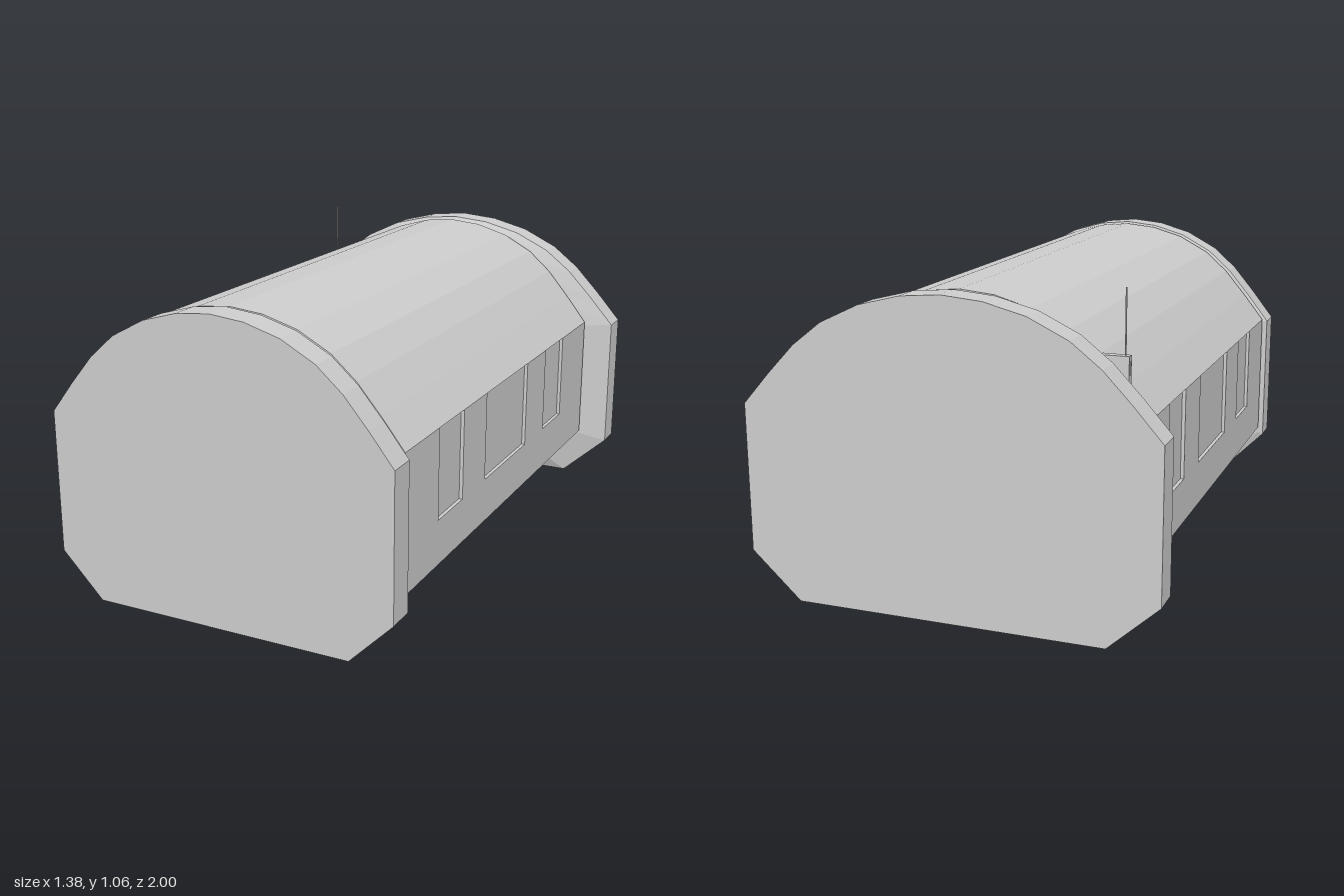
import * as THREE from 'three';

// Half roof curve: fraction of half width, fraction of rise
const ROOF = [[1, 0], [0.865, 0.27], [0.73, 0.52], [0.585, 0.72], [0.395, 0.88], [0.195, 0.97]];

// Mirrors a right half (bottom to top) into a closed counter-clockwise ring
function mirrorRing(half, apex) {
  const left = half.map(([x, y]) => [-x, y]).reverse();
  return [...half, ...(apex === undefined ? [] : [[0, apex]]), ...left];
}

// Arched section: flat floor, chamfered lower corners, straight walls, faceted roof
function arch(floorHalf, floorY, chamferY, half, wallY, topY, extra = []) {
  const roof = ROOF.map(([u, v]) => [u * half, wallY + v * (topY - wallY)]);
  return mirrorRing([[floorHalf, floorY], [extra.length ? extra[0] : half, chamferY],
    ...(extra.length ? [[extra[0], wallY]] : []), ...roof], topY);
}

// Closed solid through rings placed at rising z: [[z, ring], ...]
function loft(sections) {
  const pos = [];
  const n = sections[0][1].length;
  const pt = (k, i) => [...sections[k][1][i % n], sections[k][0]];
  for (let k = 0; k < sections.length - 1; k++) {
    for (let i = 0; i < n; i++) {
      const a = pt(k, i), b = pt(k, i + 1), c = pt(k + 1, i + 1), d = pt(k + 1, i);
      pos.push(...a, ...b, ...c, ...a, ...c, ...d);
    }
  }
  const last = sections.length - 1;
  const ys = sections[0][1].map((p) => p[1]);
  const midY = (Math.min(...ys) + Math.max(...ys)) / 2;
  for (let i = 0; i < n; i++) {
    pos.push(0, midY, sections[0][0], ...pt(0, i + 1), ...pt(0, i));
    pos.push(0, midY, sections[last][0], ...pt(last, i), ...pt(last, i + 1));
  }
  const g = new THREE.BufferGeometry();
  g.setAttribute('position', new THREE.Float32BufferAttribute(pos, 3));
  g.computeVertexNormals();
  return g;
}

export function createModel() {
  const model = new THREE.Group();
  model.name = 'cabinModule';
  const grey = new THREE.MeshStandardMaterial({ color: 0xcccccc });
  grey.name = 'lightGrey';
  const add = (name, geometry, x = 0, y = 0, z = 0) => {
    const mesh = new THREE.Mesh(geometry, grey);
    mesh.name = name;
    mesh.position.set(x, y, z);
    model.add(mesh);
    return mesh;
  };

  const z0 = -0.86, z1 = 0.875, wallX = 0.59, recessX = 0.578;

  // Hull, its side walls set in behind the window frames
  const hull = arch(0.455, 0.09, 0.195, wallX, 0.66, 1.035, [recessX]);
  add('hull', loft([[z0, hull], [z1, hull]]));

  // Side walls with three open-topped window recesses
  const wall = new THREE.Shape();
  wall.moveTo(-z1, 0.195);
  wall.lineTo(-z0, 0.195);
  wall.lineTo(-z0, 0.66);
  for (const [back, front] of [[-0.58, -0.38], [-0.18, 0.22], [0.42, 0.62]]) {
    wall.lineTo(-back, 0.66);
    wall.lineTo(-back, 0.35);
    wall.lineTo(-front, 0.35);
    wall.lineTo(-front, 0.66);
  }
  wall.lineTo(-z1, 0.66);
  wall.closePath();
  const wallGeometry = new THREE.ExtrudeGeometry(wall, { depth: wallX - recessX, bevelEnabled: false });
  wallGeometry.rotateY(Math.PI / 2);
  add('leftWall', wallGeometry, recessX);
  add('rightWall', wallGeometry, -wallX);

  // Lower collars and sloping feet under each end
  const collar = mirrorRing([[0.425, 0.036], [wallX, 0.195]]);
  const deepFoot = mirrorRing([[0.40, 0.036], [0.46, 0.1]]);
  const flatFoot = mirrorRing([[0.45, 0.09], [0.46, 0.1]]);
  add('frontCollar', loft([[0.82, collar], [z1, collar]]));
  add('backCollar', loft([[z0, collar], [-0.785, collar]]));
  add('frontFoot', loft([[0.62, flatFoot], [0.82, deepFoot]]));
  add('backFoot', loft([[-0.785, deepFoot], [-0.58, flatFoot]]));

  // End plates with bevelled inner rims on narrow necks
  const neck = arch(0.43, 0.065, 0.185, 0.555, 0.64, 1.005);
  const frontPlate = arch(0.46, 0.008, 0.16, 0.61, 0.65, 1.04);
  const frontRim = arch(0.445, 0.035, 0.17, 0.59, 0.65, 1.025);
  const backPlate = arch(0.52, 0, 0.155, 0.69, 0.65, 1.04);
  add('frontNeck', loft([[0.86, neck], [0.9, neck]]));
  add('frontPlate', loft([[0.89, frontRim], [0.9, frontPlate], [1, frontPlate]]), 0.005);
  add('backNeck', loft([[-0.9, neck], [-0.85, neck]]));
  add('backPlate', loft([[-1, backPlate], [-0.9, backPlate], [-0.87, neck]]));

  // Antenna on a wedge bracket at the right rear
  const bracket = new THREE.Shape();
  bracket.moveTo(-0.525, 0.76);
  bracket.lineTo(-0.435, 0.855);
  bracket.lineTo(-0.525, 0.855);
  bracket.closePath();
  add('antennaBracket', new THREE.ExtrudeGeometry(bracket, { depth: 0.026, bevelEnabled: false }), 0, 0, -0.812);
  add('antennaHolder', new THREE.BoxGeometry(0.008, 0.04, 0.012), -0.523, 0.817, -0.799);
  add('antenna', new THREE.CylinderGeometry(0.0025, 0.0025, 0.225, 6), -0.51, 0.9475, -0.799);

  return model;
}
